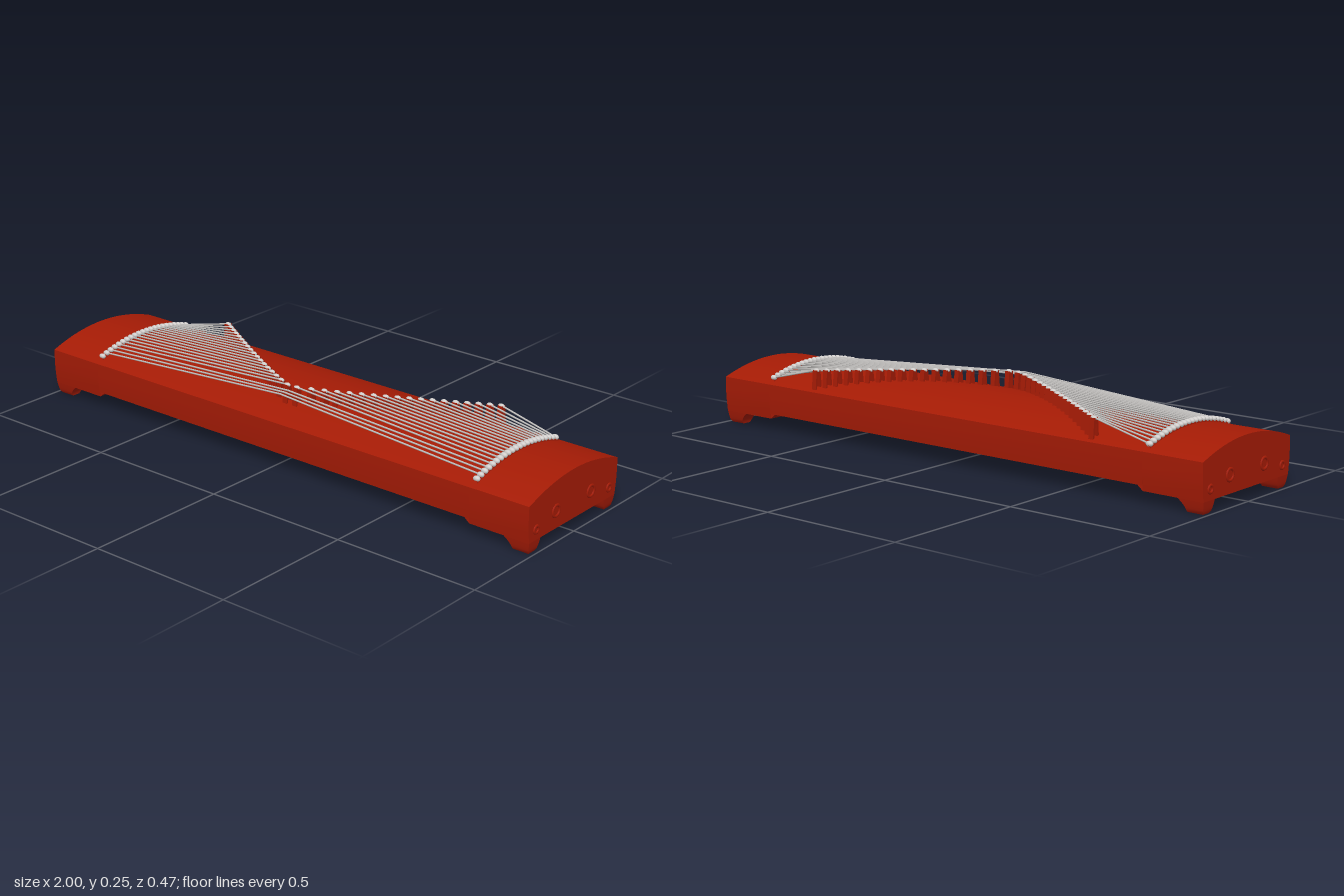
import * as THREE from 'three';
import { toCreasedNormals } from 'three/addons/utils/BufferGeometryUtils.js';

const mat = (name, color) => {
  const m = new THREE.MeshStandardMaterial({ color });
  m.name = name;
  return m;
};

export function createModel() {
  const group = new THREE.Group();
  const red = mat('red lacquer', 0xa51b05);
  const steel = mat('pale string', 0xbcbab8);
  const ivory = mat('ivory', 0xcfccca);

  const add = (name, geo, material, parent = group) => {
    const mesh = new THREE.Mesh(geo, material);
    mesh.name = name;
    parent.add(mesh);
    return mesh;
  };
  const subgroup = (name) => {
    const g = new THREE.Group();
    g.name = name;
    group.add(g);
    return g;
  };

  // Height of the arched soundboard at depth z
  const surface = (z) => 0.16 + 0.044 * (1 - (z / 0.234) ** 2);

  // Arched cross-section extruded along x between two stations
  const slab = (x0, x1, bottom, bottomZ) => {
    const s = new THREE.Shape();
    const side = [[0.2325, 0.08], [0.234, 0.11], [0.234, 0.16]];
    s.moveTo(-bottomZ, bottom);
    s.lineTo(bottomZ, bottom);
    side.forEach(([z, y]) => s.lineTo(z, y));
    for (let i = 1; i < 28; i++) {
      const z = 0.234 - (0.468 * i) / 28;
      s.lineTo(z, surface(z));
    }
    side.reverse().forEach(([z, y]) => s.lineTo(-z, y));
    const g = new THREE.ExtrudeGeometry(s, { depth: x1 - x0, bevelEnabled: false });
    g.rotateY(Math.PI / 2).translate(x0, 0, 0);
    return toCreasedNormals(g, 0.5);
  };

  // Long sound box and its two deeper end blocks
  add('soundBox', slab(-0.78, 0.78, 0.057, 0.231), red);
  add('rightEndBlock', slab(-0.994, -0.78, 0.04, 0.228), red);
  add('leftEndBlock', slab(0.78, 0.994, 0.04, 0.228), red);

  for (const sx of [-1, 1]) {
    const side = sx > 0 ? 'left' : 'right';

    // Sloped step below the sound box
    const ramp = new THREE.Shape();
    ramp.moveTo(sx * 0.78, 0.04);
    ramp.lineTo(sx * 0.78, 0.06);
    ramp.lineTo(sx * 0.755, 0.06);
    const rampGeo = new THREE.ExtrudeGeometry(ramp, { depth: 0.456, bevelEnabled: false });
    add(side + 'Step', rampGeo.translate(0, 0, -0.228), red);

    // Tapered feet: a box squeezed towards the floor
    for (const sz of [-1, 1]) {
      const foot = new THREE.BoxGeometry(1, 1, 1, 1, 6, 1);
      const p = foot.attributes.position;
      for (let i = 0; i < p.count; i++) {
        const t = p.getY(i) + 0.5;
        const xIn = 0.93 - 0.03 * t ** 2, xOut = 0.985 + 0.009 * Math.sqrt(t);
        const zIn = 0.186 - 0.018 * Math.sqrt(t), zOut = 0.215 + 0.013 * Math.sqrt(t);
        const u = p.getX(i) * sx > 0, v = p.getZ(i) * sz > 0;
        p.setXYZ(i, sx * (u ? xOut : xIn), t * 0.042, sz * (v ? zOut : zIn));
      }
      foot.computeVertexNormals();
      add(side + 'Foot', foot, red);
    }

    // Faint carved rosettes on the end face
    const rosettes = subgroup(side + 'Rosettes');
    for (const [z, y, r] of [[0.092, 0.098, 0.018], [0.193, 0.074, 0.011]]) {
      for (const sz of [-1, 1]) {
        const ring = add('rosetteRing', new THREE.TorusGeometry(r, 0.005, 8, 24), red, rosettes);
        ring.rotation.y = Math.PI / 2;
        ring.scale.z = 0.7;
        ring.position.set(sx * 0.994, y, sz * z);
      }
    }

    // Curved nut under the string ends
    const path = new THREE.CatmullRomCurve3(Array.from({ length: 9 }, (_, i) => {
      const z = -0.212 + 0.053 * i;
      return new THREE.Vector3(sx * 0.785, surface(z), z);
    }));
    add(side + 'Nut', new THREE.TubeGeometry(path, 24, 0.008, 8), red);
  }

  const up = new THREE.Vector3(0, 1, 0);
  const stringGroup = subgroup('strings');
  const stringGeo = new THREE.CylinderGeometry(0.003, 0.003, 1, 8);
  const addString = (a, b) => {
    const d = b.clone().sub(a);
    const m = add('string', stringGeo, steel, stringGroup);
    m.position.copy(a).addScaledVector(d, 0.5);
    m.scale.y = d.length();
    m.quaternion.setFromUnitVectors(up, d.normalize());
  };

  // Bridge facing along x: broad head on two splayed legs
  const bridgeGeo = (h) => {
    const s = new THREE.Shape();
    s.moveTo(-0.015, 0);
    s.lineTo(-0.009, 0);
    s.lineTo(-0.003, h * 0.7);
    s.lineTo(0.003, h * 0.7);
    s.lineTo(0.009, 0);
    s.lineTo(0.015, 0);
    s.lineTo(0.009, h);
    s.lineTo(-0.009, h);
    const g = new THREE.ExtrudeGeometry(s, { depth: 0.018, bevelEnabled: false });
    return g.translate(0, 0, -0.009).rotateY(Math.PI / 2);
  };

  const pegs = subgroup('stringPegs');
  const bridges = subgroup('bridges');
  const pegGeo = new THREE.SphereGeometry(0.009, 12, 8).scale(1.4, 1, 1);
  const capGeo = new THREE.SphereGeometry(0.008, 12, 8).scale(1.5, 0.9, 1);

  // 21 parallel strings; all but the front three end on a bridge in each arm of the V
  for (let k = -1; k < 21; k++) {
    const z = 0.185 - 0.0195 * k;
    const t = (k - 3) / 17;
    for (const sx of [-1, 1]) {
      const end = new THREE.Vector3(sx * 0.785, surface(z) + 0.009, z);
      add('peg', pegGeo, ivory, pegs).position.copy(end);
      if (k < 0) continue; // spare peg at the front edge
      if (k < 3) {
        addString(end, new THREE.Vector3(0, 0.238, z));
        continue;
      }
      const x = sx * (0.02 + 0.56 * t ** 0.9);
      const top = 0.248 - 0.018 * t;
      const base = surface(z) - 0.006;
      add('bridge', bridgeGeo(top - base), red, bridges).position.set(x, base, z);
      add('bridgeCap', capGeo, ivory, bridges).position.set(x, top - 0.001, z);
      addString(end, new THREE.Vector3(x, top, z));
    }
  }
  return group;
}
